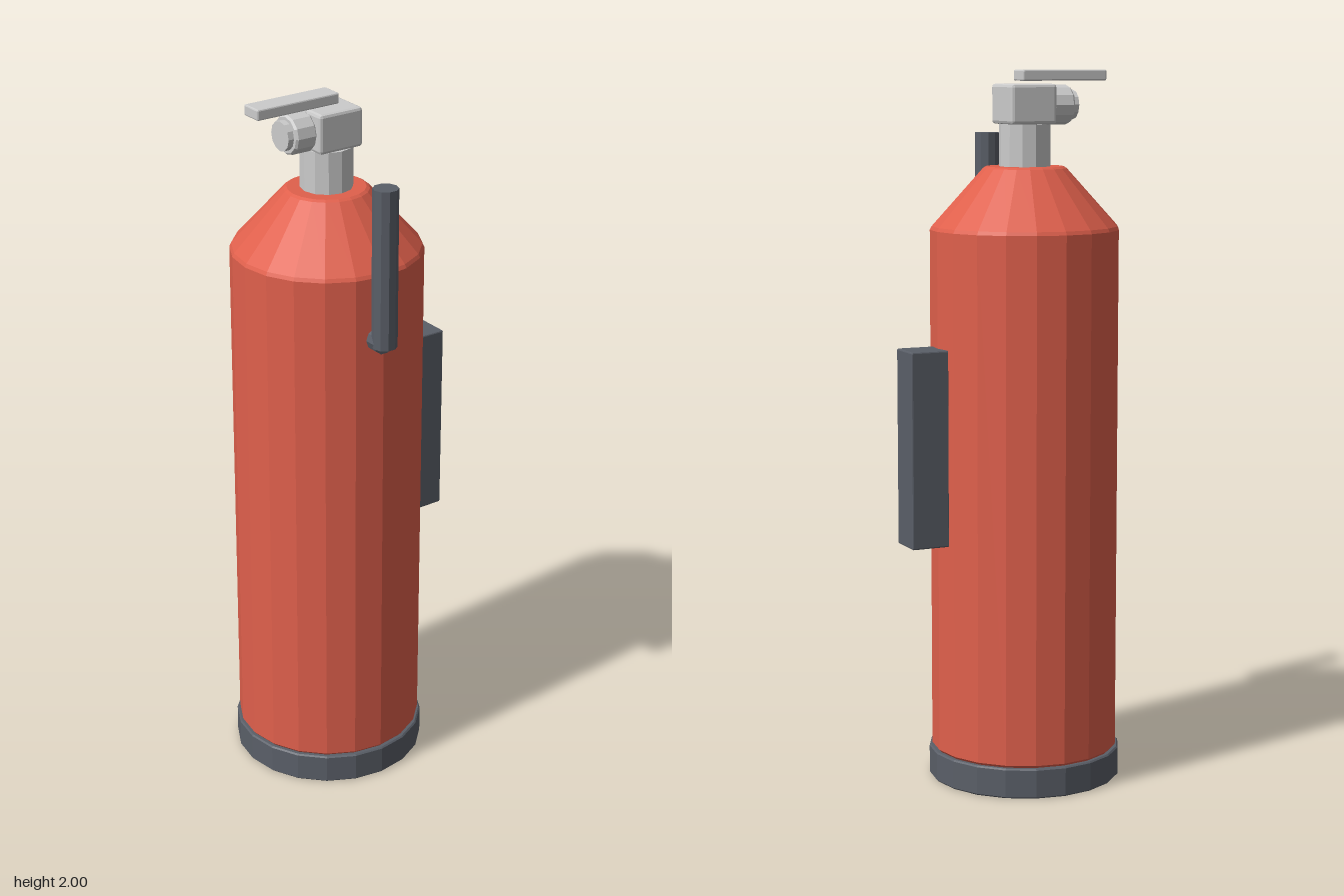
import * as THREE from 'three';
import { RoundedBoxGeometry } from 'three/addons/geometries/RoundedBoxGeometry.js';

const CX = -0.027, CZ = 0.045; // axis of the tank

const material = (color) => new THREE.MeshStandardMaterial({ color, flatShading: true });

export function createModel() {
  const model = new THREE.Group();
  const red = material(0xe0604c);
  const dark = material(0x5a5f68);
  const grey = material(0xcccccc);

  const add = (name, geometry, mat, x, y, z) => {
    const mesh = new THREE.Mesh(geometry, mat);
    mesh.name = name;
    mesh.position.set(x, y, z);
    model.add(mesh);
    return mesh;
  };
  const lathe = (points, sides) =>
    new THREE.LatheGeometry(points.map(([r, y]) => new THREE.Vector2(r, y)), sides);
  const box = (x, y, z, bevel) => new RoundedBoxGeometry(x, y, z, 1, bevel);

  // Base ring and tank with a conical shoulder
  add('base', lathe([[0, 0], [0.269, 0], [0.273, 0.004], [0.273, 0.081], [0.269, 0.085], [0, 0.085]], 20), dark, CX, 0, CZ);
  add('tank', lathe([[0, 0.085], [0.259, 0.085], [0.265, 0.092], [0.265, 1.562], [0.26, 1.572],
    [0.117, 1.731], [0.108, 1.736], [0, 1.736]], 20), red, CX, 0, CZ);

  // Neck and valve
  add('neck', new THREE.CylinderGeometry(0.072, 0.072, 0.125, 12), grey, CX, 1.79, CZ);
  add('valveBlock', box(0.138, 0.11, 0.138, 0.009), grey, CX, 1.907, 0.043);

  // Pressure gauge facing the front: rim and raised face
  const gauge = lathe([[0, 0.11], [0.05, 0.11], [0.055, 0.116], [0.055, 0.17], [0.05, 0.176],
    [0.041, 0.176], [0.041, 0.193], [0, 0.193]], 12);
  gauge.rotateX(Math.PI / 2);
  add('gauge', gauge, grey, CX, 1.904, 0);

  // Squeeze lever
  add('lever', box(0.065, 0.03, 0.257, 0.004), grey, CX, 1.985, 0.154);

  // Mounting bracket on the back
  add('wallBracket', box(0.108, 0.55, 0.112, 0.004), dark, CX, 0.965, -0.264);

  // Hose on the left with a short stub into the tank
  add('hose', new THREE.CylinderGeometry(0.035, 0.035, 0.445, 10), dark, 0.264, 1.5975, 0.062);
  const stub = add('hoseClip', new THREE.CylinderGeometry(0.034, 0.034, 0.07, 10), dark, 0.23, 1.387, 0.063);
  stub.rotation.z = Math.PI / 2;

  return model;
}
